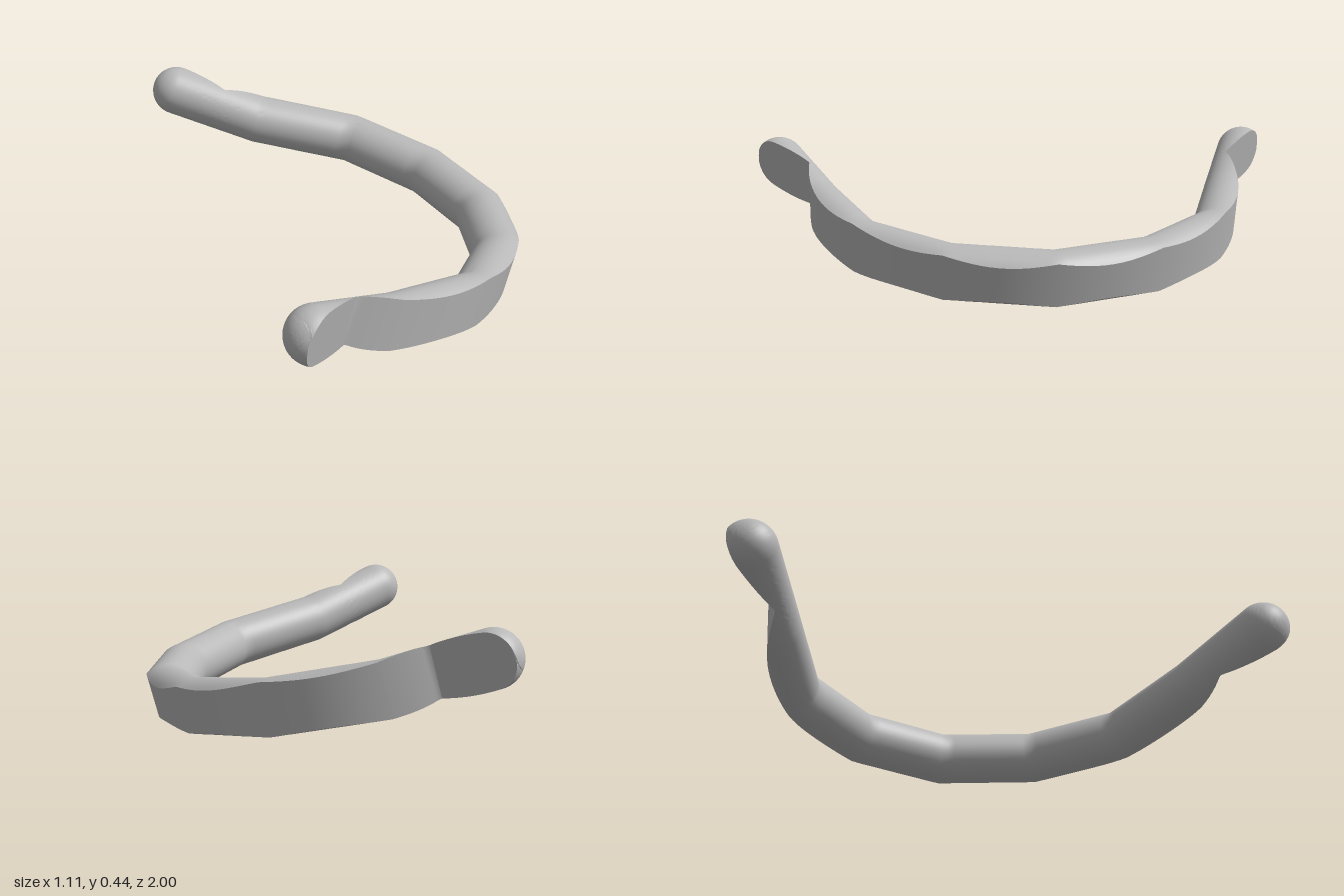
import * as THREE from 'three';
import { toCreasedNormals } from 'three/addons/utils/BufferGeometryUtils.js';

const R = 0.095;                       // bar radius
const TILT = THREE.MathUtils.degToRad(15);
const UP = new THREE.Vector3(Math.sin(TILT), Math.cos(TILT), 0); // axis of the outer wall
const V = (x, y, z) => new THREE.Vector3(x, y, z);

// Kinks of the bar's centre line, from the +z tip to the middle, then mirrored
const half = [V(-0.46, 0.35, 0.918), V(-0.16, 0.237, 0.78), V(0.19, 0.16, 0.637), V(0.406, 0.113, 0.35)];
const path = [...half, V(0.485, 0.096, 0), ...half.map(p => V(p.x, p.y, -p.z)).reverse()];

// Positive where the bar is cut away: outside the round wall and in front of the tip's flat face
function outside(p) {
  const u = p.x * Math.cos(TILT) - p.y * Math.sin(TILT), z = Math.abs(p.z);
  const wall = Math.hypot(u + 0.31, z) - 0.805;
  const tip = (u + 0.37) * 0.688 + (z - 0.8) * 0.725;
  return Math.min(wall, tip);
}

// Mitred ring at each kink
const rings = path.map((p, i) => {
  const before = path[Math.max(i - 1, 0)], after = path[Math.min(i + 1, path.length - 1)];
  const d1 = (i ? p.clone().sub(before) : after.clone().sub(p)).normalize();
  const d2 = (i < path.length - 1 ? after.clone().sub(p) : d1.clone()).normalize();
  const t = d1.clone().add(d2).normalize();
  const n = t.clone().cross(UP).normalize();
  const b = n.clone().cross(t);
  const miter = 1 / t.dot(d1);
  const at = (a, k = 1) => p.clone()
    .addScaledVector(n, R * k * miter * Math.cos(a)).addScaledVector(b, R * k * Math.sin(a));
  return { t, at };
});

// Cross-sections along the whole bar: round cap, straight runs, round cap
function makeSections() {
  const out = [], CAP = 20;
  const cap = (ring, s) => a => ring.at(a, Math.cos(s)).addScaledVector(ring.t, R * Math.sin(s));
  const last = rings[rings.length - 1];
  for (let i = 0; i < CAP; i++) out.push(cap(rings[0], -Math.PI / 2 * (1 - i / CAP)));
  for (let i = 0; i < rings.length - 1; i++) {
    const steps = i === 0 || i === rings.length - 2 ? 32 : 12;
    for (let j = 0; j < steps; j++) out.push(a => rings[i].at(a).lerp(rings[i + 1].at(a), j / steps));
  }
  for (let i = 0; i <= CAP; i++) out.push(cap(last, Math.PI / 2 * i / CAP));
  return out;
}

// Angle at which a section meets the cut, going round in the given direction
function cutAngle(section, sign) {
  if (outside(section(0)) <= 0) return 0;
  let lo = 0, hi = Math.PI;
  for (let i = 0; i < 30; i++) {
    const mid = (lo + hi) / 2;
    if (outside(section(sign * mid)) > 0) lo = mid; else hi = mid;
  }
  return hi;
}

// Skin a list of equal-length rows of points
function skin(rows, crease) {
  const pos = [];
  const tri = (a, b, c) => {
    const area = b.clone().sub(a).cross(c.clone().sub(a)).length();
    if (area > 1e-9) for (const p of [a, b, c]) pos.push(p.x, p.y, p.z);
  };
  for (let j = 0; j < rows.length - 1; j++) {
    for (let k = 0; k < rows[j].length - 1; k++) {
      const a = rows[j][k], b = rows[j + 1][k], c = rows[j + 1][k + 1], d = rows[j][k + 1];
      tri(a, b, c);
      tri(a, c, d);
    }
  }
  const g = new THREE.BufferGeometry();
  g.setAttribute('position', new THREE.Float32BufferAttribute(pos, 3));
  return toCreasedNormals(g, crease);
}

export function createModel() {
  const grey = new THREE.MeshStandardMaterial({ color: 0xb8b8b8 });
  grey.name = 'plain grey';
  const group = new THREE.Group();
  group.name = 'curvedHandle';

  const SIDES = 28, roundRows = [], flatRows = [];
  for (const section of makeSections()) {
    const top = cutAngle(section, 1), bottom = cutAngle(section, -1);
    const row = [];
    for (let k = 0; k <= SIDES; k++) row.push(section(top + (2 * Math.PI - bottom - top) * k / SIDES));
    roundRows.push(row);
    flatRows.push([section(-bottom), section(top)]);
  }

  // Rounded bar with ball-shaped tips
  const bar = new THREE.Mesh(skin(roundRows, 0.6), grey);
  bar.name = 'roundedBar';
  // Cut outer wall with the flat faces of both tips
  const wall = new THREE.Mesh(skin(flatRows, 0.4), grey);
  wall.name = 'outerWall';
  group.add(bar, wall);
  return group;
}
